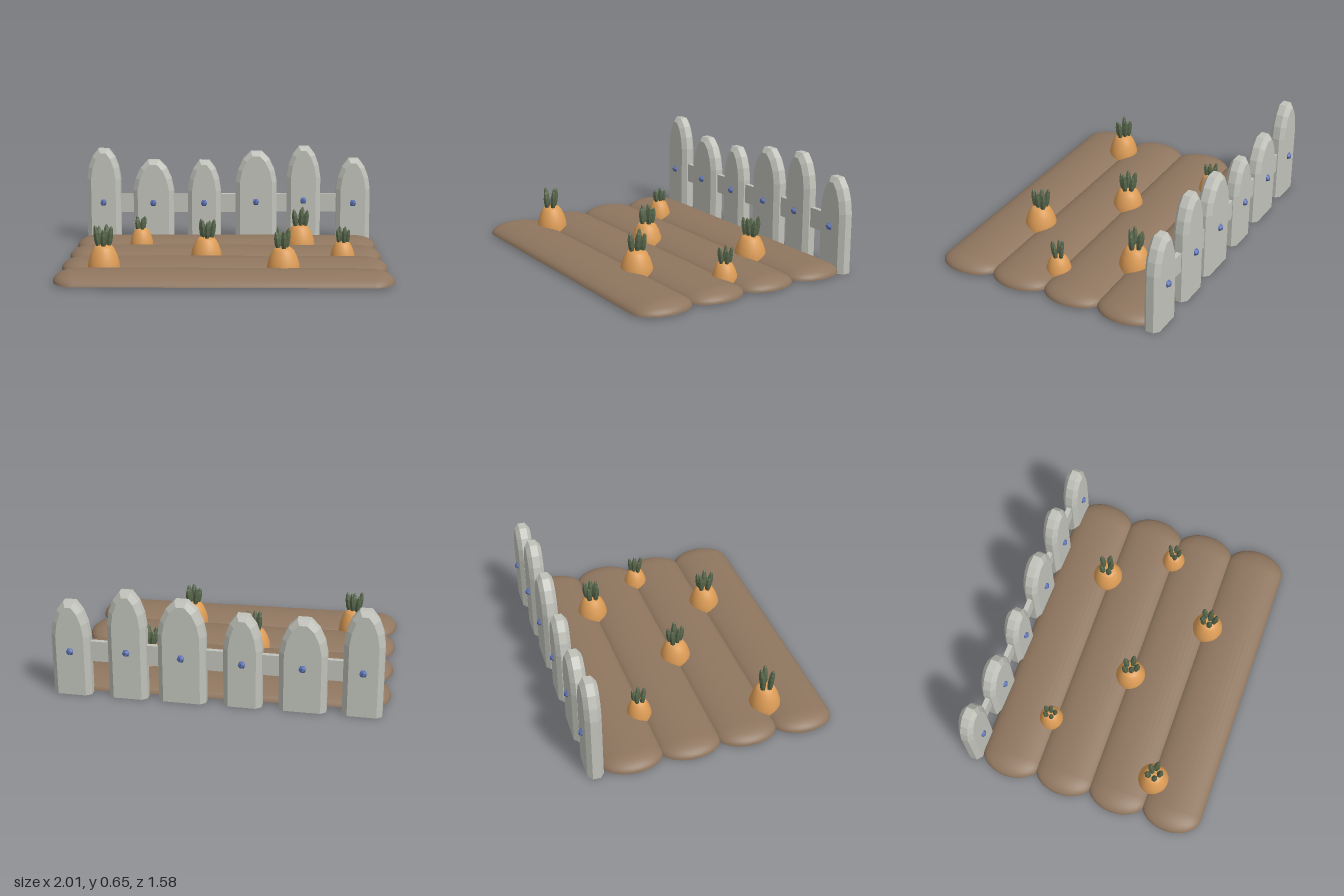
import * as THREE from 'three';
import { toCreasedNormals } from 'three/addons/utils/BufferGeometryUtils.js';

const mat = (color, flatShading = false) => new THREE.MeshStandardMaterial({ color, flatShading });
const soilMat = mat(0x8f765f);
const carrotMat = mat(0xdc9c56);
const leafMat = mat(0x56654a, true);
const woodMat = mat(0xc0c2ba, true);
const studMat = mat(0x5a6fae, true);
const undersideMat = mat(0xaaaaaa);

function add(parent, name, geometry, material, x = 0, y = 0, z = 0) {
  const mesh = new THREE.Mesh(geometry, material);
  mesh.name = name;
  mesh.position.set(x, y, z);
  parent.add(mesh);
  return mesh;
}

// Long rounded mound with a flat underside
function moundGeometry(length, halfWidth, height, endDepth) {
  const body = length - 2 * endDepth;
  const g = new THREE.CapsuleGeometry(1, 2, 10, 32);
  g.rotateZ(Math.PI / 2);
  const p = g.attributes.position;
  for (let i = 0; i < p.count; i++) {
    const x = p.getX(i);
    const over = Math.max(Math.abs(x) - 1, 0);
    const along = Math.min(Math.abs(x), 1) * body / 2 + over * endDepth;
    p.setXYZ(i, Math.sign(x) * along, Math.max(p.getY(i), 0) * height, p.getZ(i) * halfWidth);
  }
  return toCreasedNormals(g, 0.7);
}

// Pointed-arch board, bevelled front and back, flat at the ground
function picketGeometry(width, height) {
  const bevel = 0.03;
  const w = width / 2 - bevel;
  const h = height - bevel;
  const arch = [[1, 0.18], [0.86, 0.105], [0.58, 0.042], [0.22, 0.003]];
  const right = arch.map(([u, d]) => new THREE.Vector2(u * w, h - d));
  const left = right.map((v) => new THREE.Vector2(-v.x, v.y)).reverse();
  const shape = new THREE.Shape([new THREE.Vector2(-w, 0), new THREE.Vector2(w, 0), ...right, ...left]);
  const g = new THREE.ExtrudeGeometry(shape, {
    depth: 0.045, bevelEnabled: true, bevelSize: bevel, bevelThickness: 0.025, bevelSegments: 1,
  });
  g.translate(0, 0, -0.0225);
  const p = g.attributes.position;
  for (let i = 0; i < p.count; i++) p.setY(i, Math.max(p.getY(i), 0));
  g.computeVertexNormals();
  return g;
}

// Carrot shoulder with a tuft of stubby leaves
function makeCarrot(radius, top, leafTop, turn) {
  const carrot = new THREE.Group();
  carrot.name = 'carrot';
  const profile = [[1, 0], [1, 0.25], [0.95, 0.45], [0.82, 0.68], [0.64, 0.88], [0.48, 0.97], [0.25, 1], [0, 1]]
    .map(([r, y]) => new THREE.Vector2(r * radius, y * top));
  add(carrot, 'root', new THREE.LatheGeometry(profile, 24), carrotMat);
  add(carrot, 'rootUnderside', new THREE.CircleGeometry(radius, 24).rotateX(Math.PI / 2), undersideMat);

  const size = radius / 0.095;
  const leafHeight = leafTop - top + 0.02;
  for (let i = 0; i < 5; i++) {
    const h = leafHeight * (i === 0 ? 1 : 0.8 + 0.2 * ((i * 3) % 5) / 4);
    const leafProfile = [[0.011, 0], [0.019, 0.35], [0.018, 0.65], [0.01, 0.9], [0, 1]]
      .map(([r, y]) => new THREE.Vector2(r * size, y * h));
    const a = turn + i * Math.PI * 2 / 5;
    const out = (i === 0 ? 0.012 : 0.03) * size;
    const leaf = add(carrot, 'leaf', new THREE.LatheGeometry(leafProfile, 6), leafMat,
      Math.cos(a) * out, top - 0.02, Math.sin(a) * out);
    leaf.rotation.set(Math.sin(a) * 0.15, 0, -Math.cos(a) * 0.15);
  }
  return carrot;
}

export function createModel() {
  const model = new THREE.Group();
  model.name = 'carrotPatch';

  // Soil rows, slightly turned from the fence
  const bed = new THREE.Group();
  bed.name = 'soilBed';
  bed.rotation.y = 0.055;
  bed.position.z = 0.03;
  model.add(bed);
  const mound = moundGeometry(1.955, 0.186, 0.062, 0.13);
  for (let i = 0; i < 4; i++) add(bed, 'soilRow', mound, soilMat, 0, 0.01, (i - 1.5) * 0.347);

  // Carrots: x, z, radius, shoulder height, leaf height
  const carrots = [
    [-0.565, -0.315, 0.075, 0.145, 0.225],
    [0.455, -0.36, 0.095, 0.17, 0.285],
    [-0.115, 0.035, 0.095, 0.16, 0.275],
    [0.72, -0.005, 0.075, 0.135, 0.23],
    [-0.685, 0.42, 0.095, 0.18, 0.3],
    [0.365, 0.37, 0.097, 0.17, 0.285],
  ];
  carrots.forEach(([x, z, r, top, leafTop], i) => {
    const carrot = makeCarrot(r, top, leafTop, i * 1.3);
    carrot.position.set(x, 0.006, z);
    model.add(carrot);
  });

  // Fence pickets: x, z, width, height, stud height
  const fence = new THREE.Group();
  fence.name = 'fence';
  model.add(fence);
  const pickets = [
    [-0.865, -0.667, 0.225, 0.63, 0.265],
    [-0.53, -0.677, 0.27, 0.555, 0.265],
    [-0.19, -0.69, 0.22, 0.555, 0.265],
    [0.157, -0.703, 0.275, 0.615, 0.275],
    [0.473, -0.715, 0.225, 0.65, 0.285],
    [0.803, -0.727, 0.225, 0.57, 0.27],
  ];
  const studGeometry = new THREE.IcosahedronGeometry(0.024, 0);
  for (const [x, z, w, h, studY] of pickets) {
    const picket = new THREE.Group();
    picket.name = 'picket';
    picket.position.set(x, 0, z);
    picket.rotation.y = 0.02;
    fence.add(picket);
    add(picket, 'board', picketGeometry(w, h), woodMat);
    for (const side of [-1, 1]) add(picket, 'stud', studGeometry, studMat, 0, studY, side * 0.047);
  }

  // Rail joining the pickets
  const rail = add(fence, 'rail', new THREE.BoxGeometry(1.68, 0.122, 0.03), woodMat, -0.03, 0.262, -0.697);
  rail.rotation.set(0, 0.037, 0.008);

  return model;
}
